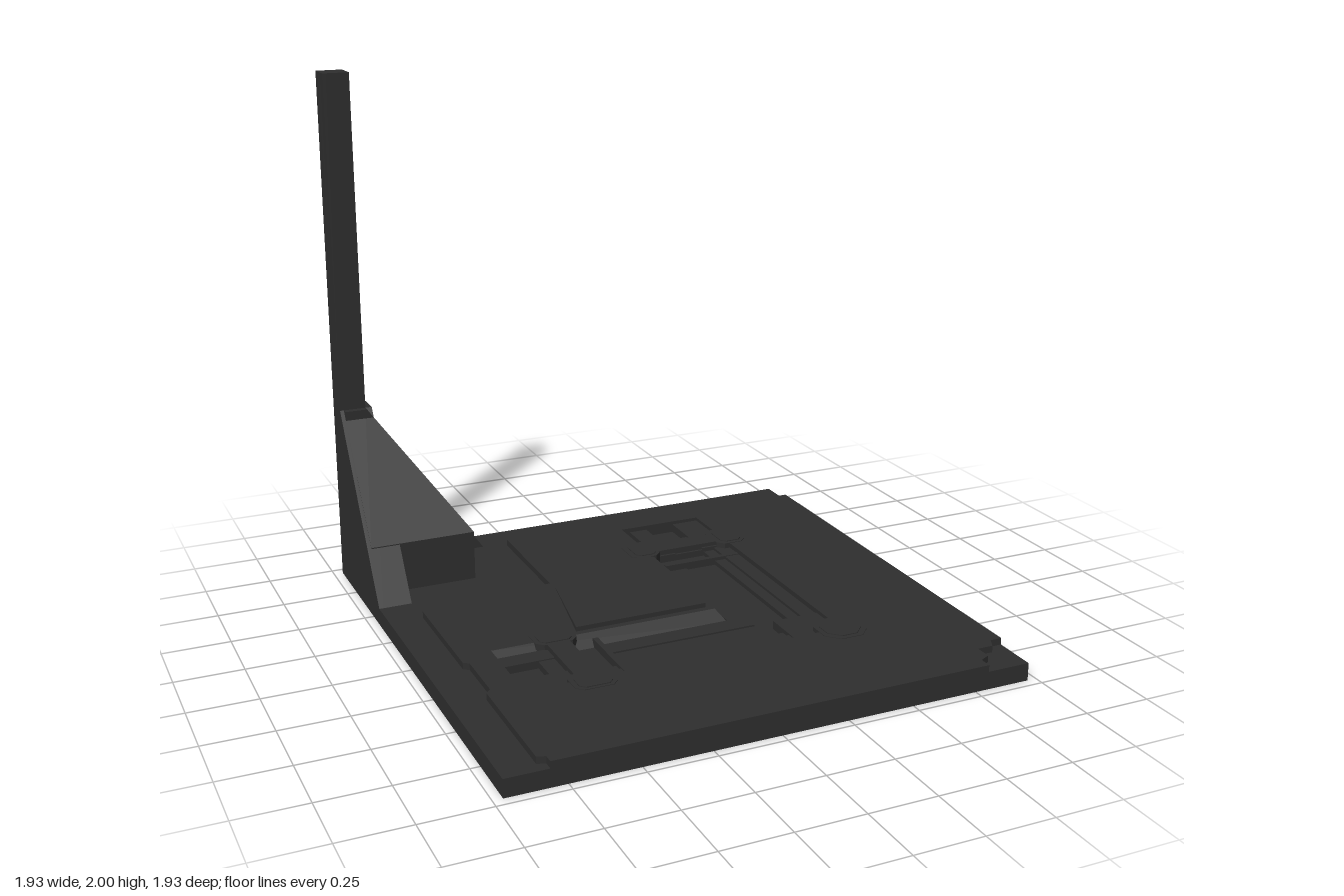
import * as THREE from 'three';
import { ConvexGeometry } from 'three/addons/geometries/ConvexGeometry.js';

export function createModel() {
  const root = new THREE.Group();
  const mat = new THREE.MeshStandardMaterial({ color: 0x2e2e2e });
  mat.name = 'dark grey';

  const E = 0.965, TOP = 0.091, STEP = 0.066, FLOOR = 0.045;
  const v2 = (pts) => pts.map(([a, b]) => new THREE.Vector2(a, b));
  const swap = (pts) => pts.map(([a, b]) => [b, a]);
  const add = (name, geo) => {
    const m = new THREE.Mesh(geo, mat);
    m.name = name;
    root.add(m);
    return m;
  };
  const extrude = (pts, depth, holes = []) => {
    const s = new THREE.Shape(v2(pts));
    holes.forEach((h) => s.holes.push(new THREE.Path(v2(h))));
    return new THREE.ExtrudeGeometry(s, { depth, bevelEnabled: false });
  };
  // horizontal slab from a plan outline in (x, z)
  const slab = (name, pts, y0, y1, holes) =>
    add(name, extrude(pts, y1 - y0, holes).rotateX(Math.PI / 2).translate(0, y1, 0));
  // the floor is symmetric about its diagonal: place a part and its mirror image
  const pair = (name, pts, y0, y1) => {
    slab(name, pts, y0, y1);
    slab(name, swap(pts), y0, y1);
  };
  const rect = (x0, x1, z0, z1, c = 0) => c
    ? [[x0 + c, z0], [x1 - c, z0], [x1, z0 + c], [x1, z1 - c],
      [x1 - c, z1], [x0 + c, z1], [x0, z1 - c], [x0, z0 + c]]
    : [[x0, z0], [x1, z0], [x1, z1], [x0, z1]];
  // L-shaped plan band between offsets a and b, with both arms ending at e
  const ell = (a, b, e) => [[a, e], [b, e], [b, b], [e, b], [e, a], [a, a]];

  // floor slab and stepped top plate with the L-shaped trench
  const trench = ell(0.15, 0.49, -0.72);
  const square = rect(-E, E, -E, E);
  slab('baseSlab', square, 0, FLOOR);
  slab('baseRim', square, FLOOR, STEP, [trench]);
  const half = [[-0.32, -0.81], [-0.27, -0.84], [0.2, -0.84], [0.215, -0.82], [0.43, -0.82],
    [0.45, -0.84], [0.92, -0.84], [0.93, -0.81], [E, -0.81], [E, 0.8], [0.92, 0.8],
    [0.9, 0.84]];
  slab('topPlate', [[-0.32, -0.32], ...half, [0.84, 0.84], ...swap(half).reverse()],
    STEP, TOP, [trench]);

  // sloping inner wall of the trench
  const hi = [[0.15, -0.72], [0.15, 0.15], [-0.72, 0.15]];
  const lo = [[0.185, -0.72], [0.185, 0.185], [-0.72, 0.185]];
  const pos = [];
  const put = ([x, z], y) => pos.push(x, y, z);
  for (let i = 0; i < 2; i++) {
    put(hi[i], TOP); put(hi[i + 1], TOP); put(lo[i], FLOOR);
    put(hi[i + 1], TOP); put(lo[i + 1], FLOOR); put(lo[i], FLOOR);
  }
  const wall = new THREE.BufferGeometry();
  wall.setAttribute('position', new THREE.Float32BufferAttribute(pos, 3));
  wall.computeVertexNormals();
  add('trenchWall', wall);

  // rails and ledges in the trench
  slab('trenchLedge', ell(0.43, 0.49, -0.72), FLOOR, 0.072);
  slab('trenchRail', ell(0.385, 0.43, -0.72), FLOOR, 0.062);
  slab('trenchStep', ell(0.185, 0.26, -0.33), FLOOR, 0.051);
  pair('trenchCross', rect(0.17, 0.49, -0.345, -0.325), FLOOR, 0.075);
  pair('endLedge', rect(0.185, 0.26, -0.72, -0.43), FLOOR, 0.074);
  pair('endLedge', rect(0.38, 0.49, -0.72, -0.43), FLOOR, 0.078);
  pair('endBlock', rect(0.25, 0.39, -0.585, -0.43), FLOOR, 0.07);
  slab('cornerStep', rect(0.31, 0.49, 0.31, 0.49), FLOOR, 0.077);

  // clamps across the trench and the corner cap
  pair('clampBar', rect(0.1, 0.54, -0.525, -0.44), FLOOR, 0.093);
  for (const [x0, x1] of [[0.09, 0.178], [0.465, 0.555]]) {
    pair('clampRim', rect(x0 - 0.022, x1 + 0.012, -0.56, -0.404, 0.025), FLOOR, 0.093);
    pair('clampEnd', rect(x0, x1, -0.543, -0.421, 0.018), FLOOR, 0.096);
  }
  slab('cornerRim', rect(0.4, 0.575, 0.4, 0.575, 0.045), FLOOR, 0.093);
  slab('cornerCap', rect(0.418, 0.557, 0.418, 0.557, 0.04), FLOOR, 0.096);

  // raised panel inside the bend, sloping down to the back corner
  const P = (x, y, z) => new THREE.Vector3(x, y, z);
  const corners = [[0.125, 0.125], [-0.39, 0.125], [0.125, -0.39]];
  add('raisedPanel', new ConvexGeometry([
    ...corners.map(([x, z]) => P(x, 0.108, z)),
    ...corners.map(([x, z]) => P(x, 0.08, z)),
    P(-0.31, TOP, -0.31), P(-0.31, 0.08, -0.31),
  ]));

  // corner post and its buttress; the outer faces carry framed recesses
  const IN = 0.95, POST = -0.865, KNEE = 0.71, FOOT = -0.413;
  const postW = IN + POST;
  add('post', new THREE.BoxGeometry(postW, 2 - STEP, postW)
    .translate((POST - IN) / 2, 1 + STEP / 2, (POST - IN) / 2));
  const flip = (pts, s) => pts.map(([x, y]) => [x * s, y]);
  const fin = [[-IN, STEP], [FOOT, STEP], [POST, KNEE], [-IN, KNEE]];
  const frame = [[-E, STEP], [FOOT, STEP], [POST, KNEE], [POST, 2], [-E, 2]];
  const slot = [[-0.938, 0.74], [-0.892, 0.74], [-0.892, 1.975], [-0.938, 1.975]];
  const panel = [[-0.93, 0.11], [-0.505, 0.11], [-0.485, 0.125], [-0.87, 0.67],
    [-0.915, 0.67], [-0.93, 0.65]];
  for (const s of [1, -1]) {
    const turn = s > 0 ? 0 : Math.PI / 2;
    add('buttressFin', extrude(flip(fin, s), IN - 0.84).translate(0, 0, -IN).rotateY(turn));
    add('outerFrame', extrude(flip(frame, s), E - IN, [flip(slot, s), flip(panel, s)])
      .translate(0, 0, -E).rotateY(turn));
  }

  // buttress core: square block below a tapering cap
  const C = -0.545, CY = 0.258;
  const ring = (c, y) => rect(-IN, c, -IN, c).map(([x, z]) => P(x, y, z));
  add('buttressCap', new ConvexGeometry([...ring(C, CY), ...ring(POST, KNEE)]));
  slab('buttressBlock', rect(-IN, C, -IN, C), STEP, CY);

  return root;
}
